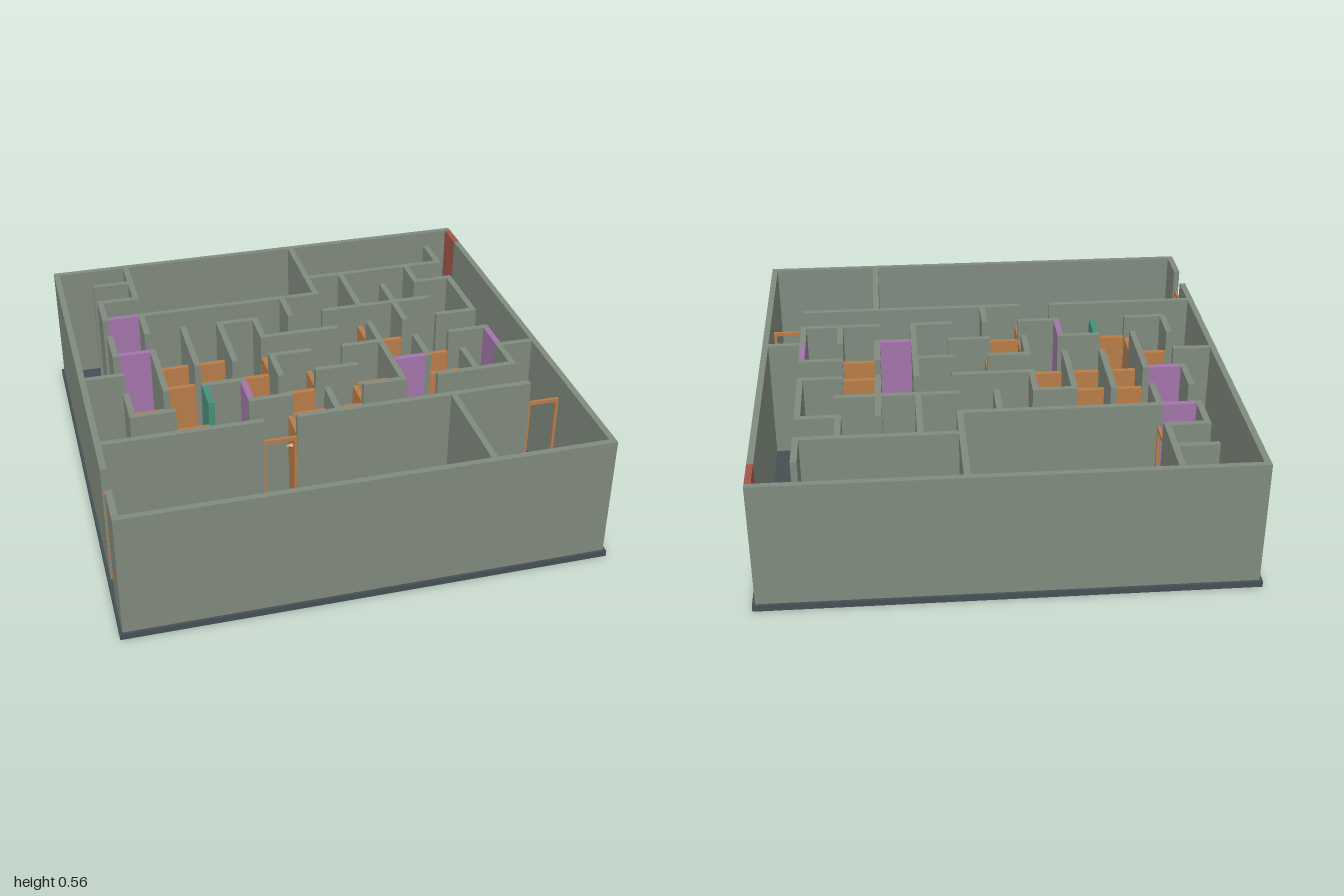
import * as THREE from 'three';

const CELL = 0.1626, T = 0.026, FLOOR = 0.026, TOP = 0.56, GATE_TOP = 0.46;
const at = (i) => (i - 6) * CELL; // grid line to position

const material = (color) => new THREE.MeshStandardMaterial({ color, flatShading: true });
const wallMat = material(0x808a7e);
const slabMat = material(0x455054);
const gateMat = material(0xb87c48);
const secretMat = material(0xa274aa);
const leverMat = material(0x459078);
const exitMat = material(0xa05548);
const chestMat = material(0x523f33);

export function createModel() {
  const model = new THREE.Group();
  model.name = 'mazeFloor';

  const box = (name, mat, w, h, d, x, y, z, parent = model) => {
    const mesh = new THREE.Mesh(new THREE.BoxGeometry(w, h, d), mat);
    mesh.name = name;
    mesh.position.set(x, y + h / 2, z);
    parent.add(mesh);
    return mesh;
  };

  // Panel along a grid line: axis 'h' runs in x on row `line`, 'v' runs in z on column `line`
  const panel = (name, mat, axis, line, a, b, extra, thick = T, y0 = FLOOR, y1 = TOP) => {
    const len = (b - a) * CELL + extra, mid = at((a + b) / 2);
    return axis === 'h'
      ? box(name, mat, len, y1 - y0, thick, mid, y0, at(line))
      : box(name, mat, thick, y1 - y0, len, at(line), y0, mid);
  };

  // Base slab
  box('baseSlab', slabMat, 2, FLOOR, 2, 0, 0, 0);

  // Room floors: colour, column range, row range
  [
    ['redRoomFloor', 0x885855, 2, 7, 0, 3],
    ['blueRoomFloor', 0x566878, 7, 11, 0, 2],
    ['greenRoomFloor', 0x5e766c, 0, 9, 9, 12],
    ['purpleRoomFloor', 0x705e7e, 9, 12, 9, 12],
  ].forEach(([name, color, c0, c1, r0, r1]) =>
    box(name, material(color), (c1 - c0) * CELL - T, 0.004, (r1 - r0) * CELL - T,
      at((c0 + c1) / 2), FLOOR, at((r0 + r1) / 2)));

  // Solid walls: for each grid line, [start, end] spans
  const rows = {
    0: [[0, 12]], 1: [[1, 2]], 2: [[1, 2], [7, 11]], 3: [[2, 7], [10, 11]],
    4: [[4, 5], [7, 10]], 5: [[5, 7], [10, 11]], 6: [[0, 1], [5, 6], [7, 8], [10, 11]],
    7: [[3, 4], [6, 7], [11, 12]], 8: [[1, 2], [4, 5], [7, 8], [9, 11]],
    9: [[0, 4], [5, 11]], 12: [[0, 12]],
  };
  const columns = {
    0: [[0, 10], [11, 12]], 1: [[2, 3], [4, 5], [7, 8]], 2: [[0, 2], [3, 4], [5, 7]],
    3: [[4, 6]], 4: [[4, 6]], 5: [[4, 5], [6, 7]], 6: [[3, 4], [8, 9]], 7: [[0, 3]],
    8: [[2, 4], [5, 8]], 9: [[3, 5], [6, 7], [9, 12]], 10: [[2, 3], [7, 8]],
    11: [[1, 2], [3, 5], [7, 8]], 12: [[1, 12]],
  };
  for (const [axis, lines] of [['h', rows], ['v', columns]])
    for (const [line, spans] of Object.entries(lines))
      for (const [a, b] of spans) panel('wall', wallMat, axis, +line, a, b, T);

  // Full-height coloured panels
  [['h', 3, 1], ['h', 5, 1], ['h', 7, 8], ['v', 4, 7], ['v', 11, 6]].forEach(([axis, line, a]) =>
    panel('secretPanel', secretMat, axis, line, a, a + 1, -T));
  panel('leverPanel', leverMat, 'v', 3, 7, 8, -T);
  panel('exitPanel', exitMat, 'v', 12, 0, 1, -T);

  // One-way gates with a small pointer: axis, line, start, direction
  const pointerGeo = new THREE.ConeGeometry(0.014, 0.03, 4).rotateX(Math.PI / 2);
  [
    ['h', 5, 2, -1], ['h', 5, 3, -1], ['h', 5, 8, -1],
    ['h', 6, 2, -1], ['h', 6, 3, -1], ['h', 6, 4, -1], ['h', 6, 9, -1],
    ['h', 7, 1, -1], ['h', 7, 5, -1], ['h', 7, 7, -1], ['h', 7, 9, -1],
    ['h', 8, 2, -1], ['h', 8, 5, 1], ['h', 8, 6, 1],
    ['v', 2, 7, -1], ['v', 5, 5, 1], ['v', 5, 7, 1], ['v', 5, 8, -1],
    ['v', 6, 5, 1], ['v', 6, 6, 1], ['v', 7, 7, 1], ['v', 8, 4, -1],
  ].forEach(([axis, line, a, dir]) => {
    panel('oneWayGate', gateMat, axis, line, a, a + 1, -T, 0.022, FLOOR, GATE_TOP);
    const pointer = new THREE.Mesh(pointerGeo, gateMat);
    pointer.name = 'gatePointer';
    const along = at(a + 0.5), across = at(line) + dir * 0.024;
    if (axis === 'h') {
      pointer.position.set(along, 0.36, across);
      pointer.rotation.y = dir > 0 ? 0 : Math.PI;
    } else {
      pointer.position.set(across, 0.36, along);
      pointer.rotation.y = dir * Math.PI / 2;
    }
    model.add(pointer);
  });

  // Open doorways: two posts and a lintel
  [['v', 0, 10], ['v', 2, 2], ['h', 9, 4], ['h', 9, 11]].forEach(([axis, line, a]) => {
    const frame = new THREE.Group();
    frame.name = 'doorFrame';
    const span = CELL - T, bar = 0.012;
    for (const s of [-1, 1])
      box('doorPost', gateMat, bar, GATE_TOP - FLOOR, bar, s * (span - bar) / 2, FLOOR, 0, frame);
    box('doorLintel', gateMat, span, 0.016, bar, 0, GATE_TOP - 0.016, 0, frame);
    if (axis === 'h') frame.position.set(at(a + 0.5), 0, at(line));
    else {
      frame.position.set(at(line), 0, at(a + 0.5));
      frame.rotation.y = Math.PI / 2;
    }
    model.add(frame);
  });

  // Chests
  [[-0.25, -0.88], [0.485, -0.88], [0.727, 0.58]].forEach(([x, z]) =>
    box('chest', chestMat, 0.14, 0.07, 0.07, x, FLOOR, z));

  // Round plinth with a darker foot
  const round = (name, mat, r0, r1, h, y) => {
    const mesh = new THREE.Mesh(new THREE.CylinderGeometry(r1, r0, h, 32), mat);
    mesh.name = name;
    mesh.position.set(-0.728, y + h / 2, 0.697);
    model.add(mesh);
  };
  round('plinthFoot', slabMat, 0.083, 0.083, 0.02, FLOOR);
  round('plinth', wallMat, 0.076, 0.074, 0.08, FLOOR);

  return model;
}
